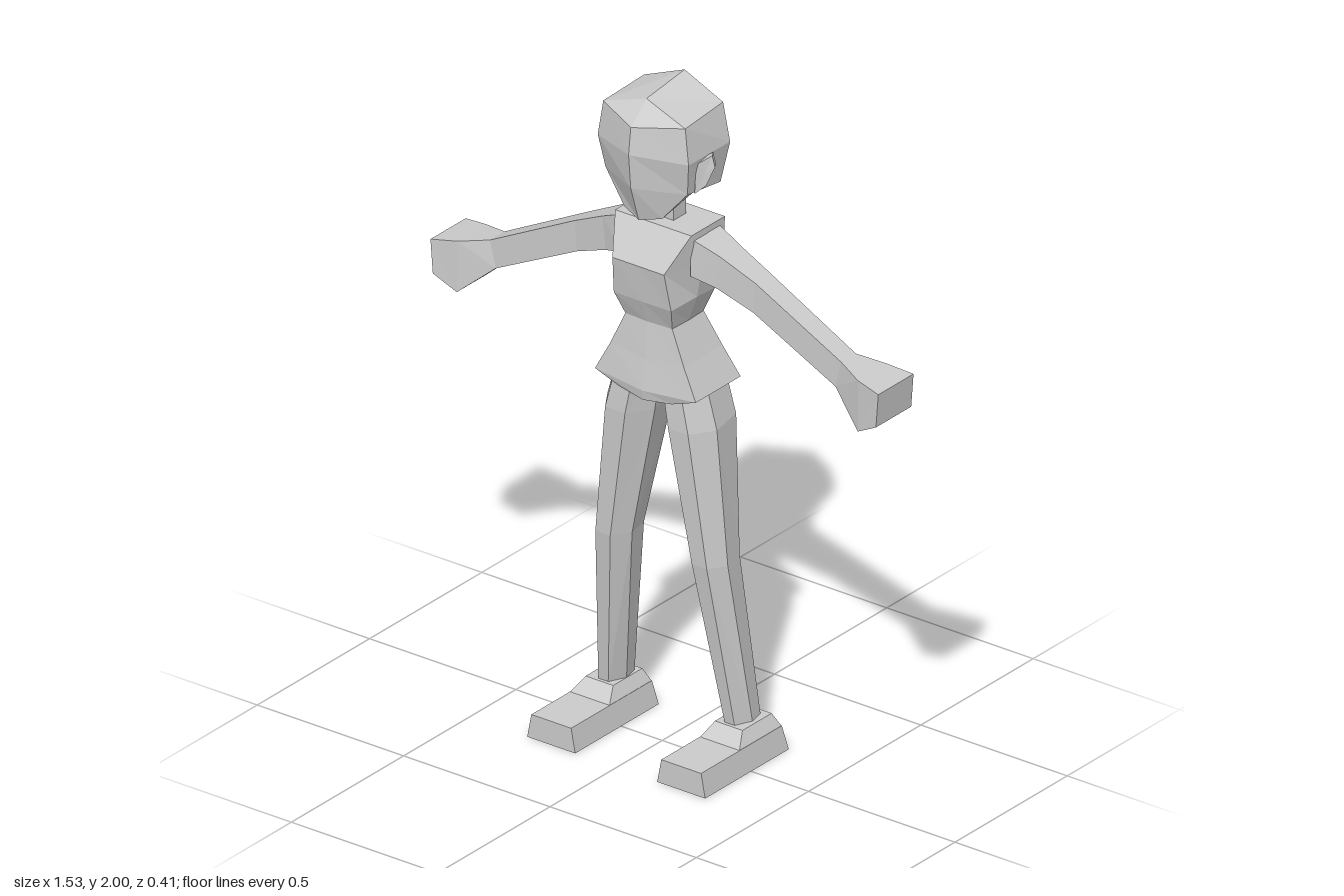
import * as THREE from 'three';

const material = new THREE.MeshStandardMaterial({ color: 0xcccccc, flatShading: true, side: THREE.DoubleSide });

// Skins a closed, capped surface over cross-sections of equal point count
function loft(name, rings, mirrored = false) {
  const tris = [];
  const pts = rings.map(r => r.map(p => new THREE.Vector3(mirrored ? -p[0] : p[0], p[1], p[2])));
  const add = (a, b, c) => {
    const area = b.clone().sub(a).cross(c.clone().sub(a)).length();
    if (area > 1e-7) tris.push([a, b, c]);
  };
  const n = pts[0].length;
  for (let i = 0; i < pts.length - 1; i++) {
    for (let j = 0; j < n; j++) {
      const k = (j + 1) % n;
      add(pts[i][j], pts[i][k], pts[i + 1][k]);
      add(pts[i][j], pts[i + 1][k], pts[i + 1][j]);
    }
  }
  const cap = (ring, flip) => {
    const mid = ring.reduce((s, p) => s.add(p), new THREE.Vector3()).divideScalar(n);
    ring.forEach((p, j) => {
      const q = ring[(j + 1) % n];
      if (flip) add(mid, q, p); else add(mid, p, q);
    });
  };
  cap(pts[0], true);
  cap(pts[pts.length - 1], false);
  // Turn all faces outward
  const volume = tris.reduce((s, [a, b, c]) => s + a.dot(b.clone().cross(c)), 0);
  const out = tris.flatMap(([a, b, c]) => (volume < 0 ? [a, c, b] : [a, b, c]));
  const geometry = new THREE.BufferGeometry().setFromPoints(out);
  geometry.computeVertexNormals();
  const mesh = new THREE.Mesh(geometry, material);
  mesh.name = name;
  return mesh;
}

// Completes a half section (front centre, side points, back centre)
const sym = half => [...half, ...half.slice(1, -1).reverse().map(([x, y, z]) => [-x, y, z])];

// Level rectangle
const rect = (x0, x1, y, z0, z1) => [[x0, y, z1], [x1, y, z1], [x1, y, z0], [x0, y, z0]];

// Upright section across an arm
const slice = (xTop, yTop, xLow, yLow, z0, z1) =>
  [[xTop, yTop, z1], [xTop, yTop, z0], [xLow, yLow, z0], [xLow, yLow, z1]];

// Six-sided leg section: narrow front, side ridges, wide back
const legRing = (y, inner, outer, zFront, zMid, zBack) => {
  const at = t => inner + (outer - inner) * t;
  return [
    [at(0.3), y, zFront], [at(0.72), y, zFront], [outer, y, zMid],
    [at(0.86), y, zBack], [at(0.14), y, zBack], [inner, y, zMid],
  ];
};

export function createModel() {
  const model = new THREE.Group();
  model.name = 'figure';

  // Head: crown ridge, brow, temples, cheeks, chin
  model.add(loft('head', [
    [[0, 1.98, 0.07], [0, 1.98, 0.07], [0, 2.0, -0.1], [0, 2.0, -0.1]],
    [[0, 1.92, 0.14], [0.14, 1.935, 0.08], [0.135, 1.945, -0.095], [0, 1.9, -0.2]],
    [[0, 1.84, 0.15], [0.155, 1.83, 0.085], [0.163, 1.835, -0.09], [0, 1.82, -0.187]],
    [[0, 1.735, 0.14], [0.14, 1.73, 0.07], [0.138, 1.71, -0.08], [0, 1.725, -0.17]],
    [[0, 1.625, 0.105], [0.065, 1.64, 0.085], [0.07, 1.675, -0.075], [0, 1.68, -0.1]],
  ].map(sym)));

  model.add(loft('neck', [
    rect(-0.035, 0.035, 1.57, -0.06, -0.005),
    rect(-0.035, 0.035, 1.7, -0.06, -0.005),
  ]));

  // Torso: shoulders, chest, ribs, waist
  model.add(loft('torso', [
    [[0, 1.59, 0.04], [0.13, 1.59, 0.04], [0.13, 1.59, -0.03], [0.13, 1.59, -0.11], [0, 1.59, -0.11]],
    [[0, 1.485, 0.107], [0.088, 1.485, 0.107], [0.13, 1.49, -0.01], [0.125, 1.47, -0.107], [0, 1.47, -0.107]],
    [[0, 1.37, 0.09], [0.098, 1.37, 0.088], [0.112, 1.38, -0.01], [0.105, 1.37, -0.098], [0, 1.37, -0.098]],
    [[0, 1.3, 0.065], [0.08, 1.3, 0.06], [0.083, 1.3, -0.01], [0.08, 1.3, -0.08], [0, 1.3, -0.085]],
  ].map(sym)));

  // Flared hips with a bevelled underside
  model.add(loft('hips', [
    [[0, 1.3, 0.065], [0.08, 1.3, 0.06], [0.08, 1.3, -0.08], [0, 1.3, -0.085]],
    [[0, 1.19, 0.077], [0.125, 1.2, 0.067], [0.125, 1.2, -0.105], [0, 1.19, -0.115]],
    [[0, 1.1, 0.09], [0.172, 1.11, 0.075], [0.172, 1.11, -0.125], [0, 1.1, -0.14]],
    [[0, 1.07, 0.085], [0.09, 1.08, 0.075], [0.09, 1.085, -0.115], [0, 1.08, -0.125]],
  ].map(sym)));

  for (const [side, mirrored] of [['left', false], ['right', true]]) {
    const part = (name, rings) => model.add(loft(side + name, rings, mirrored));

    // Thin leaf-shaped ear, its outer edge swept back
    const ear = [[0.145, 1.725, 0.045], [0.17, 1.75, 0.025], [0.188, 1.805, 0.01],
      [0.18, 1.838, 0.012], [0.15, 1.815, 0.045]];
    part('Ear', [ear, ear.map(([x, y, z]) => [x - 0.012, y, z - 0.02])]);

    part('Arm', [
      slice(0.12, 1.575, 0.12, 1.46, -0.09, 0.03),
      slice(0.2, 1.535, 0.19, 1.435, -0.085, 0.005),
      slice(0.31, 1.48, 0.3, 1.39, -0.083, -0.012),
      slice(0.6, 1.33, 0.58, 1.25, -0.08, -0.015),
    ]);
    // Block hand widening to a square end
    part('Hand', [
      slice(0.6, 1.33, 0.58, 1.25, -0.08, -0.015),
      slice(0.685, 1.315, 0.685, 1.16, -0.107, 0.022),
      slice(0.765, 1.302, 0.757, 1.2, -0.122, 0.035),
    ]);

    part('Leg', [
      legRing(1.13, 0.005, 0.15, 0.065, 0, -0.11),
      legRing(1.0, 0.025, 0.187, 0.07, 0, -0.115),
      legRing(0.6, 0.103, 0.224, 0.05, 0, -0.075),
      legRing(0.1, 0.176, 0.256, -0.02, -0.07, -0.12),
    ]);

    // Foot: flat sole block with an ankle collar at the heel
    part('Foot', [
      rect(0.14, 0.304, 0, -0.167, 0.205),
      rect(0.154, 0.29, 0.072, -0.155, 0.205),
    ]);
    part('Ankle', [
      rect(0.154, 0.29, 0.07, -0.155, 0.035),
      rect(0.174, 0.268, 0.11, -0.138, -0.008),
    ]);
  }
  return model;
}
